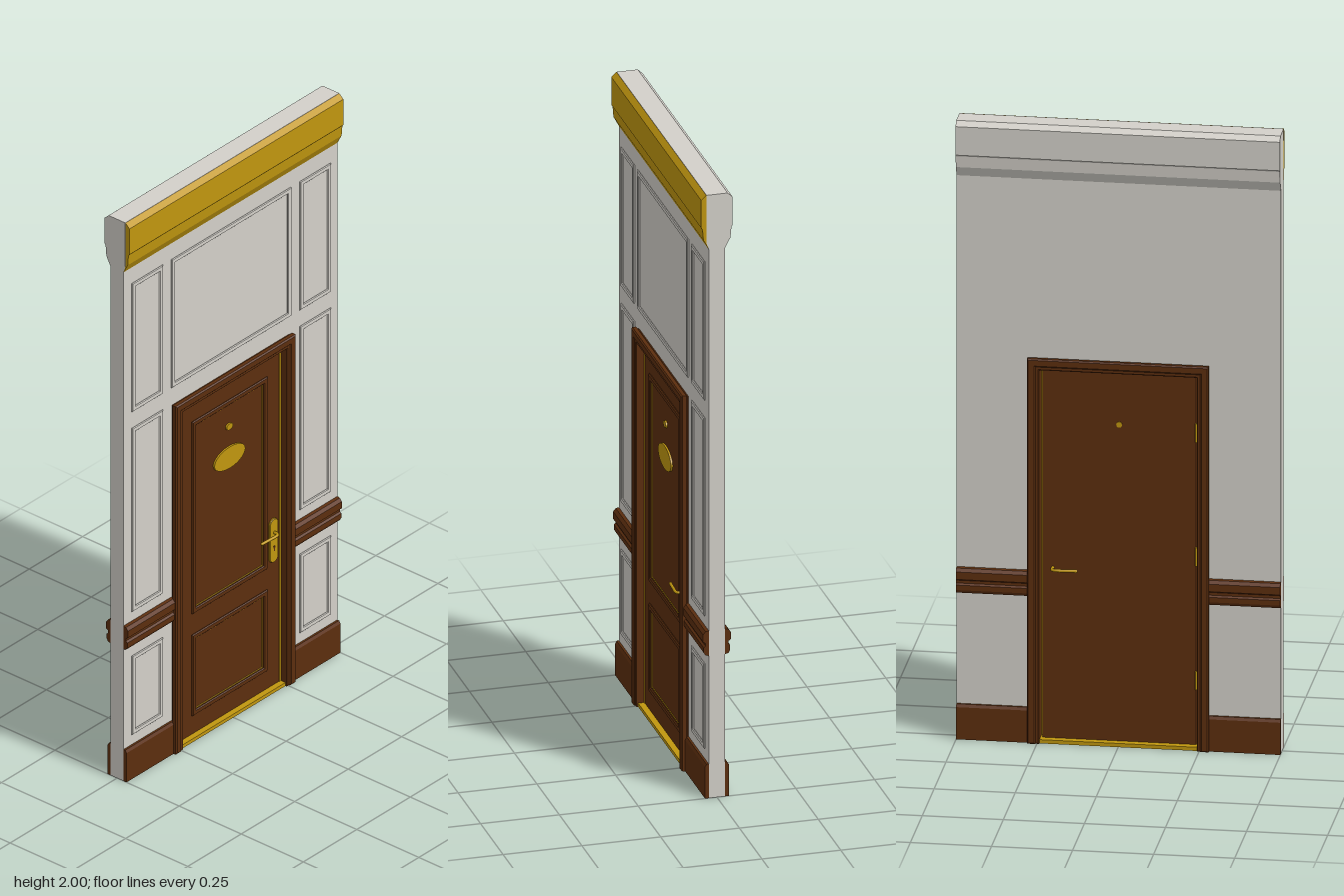
import * as THREE from 'three';

export function createModel() {
  const root = new THREE.Group();
  root.name = 'doorWallSection';
  const mat = (name, hex) => {
    const m = new THREE.MeshStandardMaterial({ color: hex });
    m.name = name;
    return m;
  };
  const white = mat('warmWhite', 0xd3d0c9);
  const gold = mat('brassGold', 0xc0960f);
  const brown = mat('darkWood', 0x5c2e0e);

  const add = (name, geo, material, x = 0, y = 0, z = 0, parent = root) => {
    const m = new THREE.Mesh(geo, material);
    m.name = name;
    m.position.set(x, y, z);
    parent.add(m);
    return m;
  };
  const poly = (pts) => new THREE.Shape(pts.map(([x, y]) => new THREE.Vector2(x, y)));
  const box = (w, h, d) => new THREE.BoxGeometry(w, h, d);

  // Sweeps a [z, y] profile along x
  const sweepX = (name, profile, x0, x1, material) => {
    const shape = poly(profile.map(([z, y]) => [-z, y]));
    const geo = new THREE.ExtrudeGeometry(shape, { depth: x1 - x0, bevelEnabled: false });
    geo.rotateY(Math.PI / 2);
    return add(name, geo, material, x0);
  };
  const flipZ = (profile) => profile.map(([z, y]) => [-z, y]);

  // Extrudes a shape whose edges are chamfered inside its outline
  const bevelled = (shape, depth, bevel) => {
    const geo = new THREE.ExtrudeGeometry(shape, {
      depth: depth - 2 * bevel, bevelEnabled: true, bevelThickness: bevel,
      bevelSize: bevel, bevelOffset: -bevel, bevelSegments: 1, curveSegments: 16,
    });
    geo.translate(0, 0, bevel);
    return geo;
  };

  // Rectangular picture-frame moulding lying on the plane z
  const frame = (name, x0, x1, y0, y1, w, depth, z, material, bevel) => {
    const shape = poly([[x0, y0], [x1, y0], [x1, y1], [x0, y1]]);
    shape.holes.push(poly([[x0 + w, y0 + w], [x0 + w, y1 - w], [x1 - w, y1 - w], [x1 - w, y0 + w]]));
    return add(name, bevelled(shape, depth, bevel), material, 0, 0, z);
  };
  // Inverted U around the doorway
  const portal = (xo, yo, xi, yi) => poly([
    [-xo, 0], [-xi, 0], [-xi, yi], [xi, yi], [xi, 0], [xo, 0], [xo, yo], [-xo, yo]]);

  // Wall with doorway
  const T = 0.026;
  const wallGeo = new THREE.ExtrudeGeometry(portal(0.5, 2, 0.26, 1.225), { depth: 2 * T, bevelEnabled: false });
  add('wall', wallGeo, white, 0, 0, -T);

  // Cornice: gilded front, plain back
  const corniceEdge = [[0.043, 1.852], [0.046, 1.888], [0.05, 1.893], [0.05, 1.985], [0.034, 2]];
  sweepX('corniceFront', [[T, 1.82], ...corniceEdge, [0.033, 1.84]], -0.5, 0.5, gold);
  sweepX('corniceCore', [[T, 1.82], [0.033, 1.84], [0.033, 2], [T, 2]], -0.5, 0.5, white);
  sweepX('corniceBack', flipZ([[T, 1.82], ...corniceEdge, [T, 2]]), -0.5, 0.5, white);

  // Baseboards and chair rails on both faces, either side of the door
  const baseboard = [[T, 0], [0.038, 0], [0.038, 0.104], [0.033, 0.113], [T, 0.113]];
  const chairRail = [[T, 0.472], [0.036, 0.474], [0.042, 0.484], [0.042, 0.5], [0.036, 0.505],
    [0.036, 0.514], [0.044, 0.519], [0.044, 0.543], [0.036, 0.553], [T, 0.555]];
  for (const [x0, x1] of [[-0.5, -0.275], [0.275, 0.5]]) {
    for (const back of [false, true]) {
      const side = back ? 'Back' : 'Front';
      sweepX('baseboard' + side, back ? flipZ(baseboard) : baseboard, x0, x1, brown);
      sweepX('chairRail' + side, back ? flipZ(chairRail) : chairRail, x0, x1, brown);
    }
  }

  // Wall panel mouldings
  const wallFrame = (x0, x1, y0, y1) => {
    frame('wallPanelMoulding', x0, x1, y0, y1, 0.017, 0.006, T, white, 0.0025);
  };
  for (const [x0, x1] of [[-0.465, -0.32], [0.32, 0.465]]) {
    wallFrame(x0, x1, 0.15, 0.432);
    wallFrame(x0, x1, 0.59, 1.247);
    wallFrame(x0, x1, 1.305, 1.765);
  }
  wallFrame(-0.28, 0.28, 1.305, 1.765);

  // Door casing through the wall, with a raised outer band on each face
  add('doorCasing', bevelled(portal(0.274, 1.24, 0.243, 1.208), 0.092, 0.003), brown, 0, 0, -0.046);
  for (const z of [-0.05, 0.03]) {
    add('casingBand', bevelled(portal(0.28, 1.245, 0.254, 1.219), 0.02, 0.004), brown, 0, 0, z);
  }

  // Door leaf, brass seal and threshold
  const F = 0.018, B = -0.014;
  add('doorLeaf', box(0.474, 1.194, F - B), brown, 0, 0.609, (F + B) / 2);
  const sealGeo = new THREE.ExtrudeGeometry(portal(0.243, 1.208, 0.236, 1.202), { depth: 0.012, bevelEnabled: false });
  add('doorSeal', sealGeo, gold, 0, 0, F - 0.01);
  add('threshold', box(0.486, 0.012, 0.076), gold, 0, 0.006, 0);

  // Door panel mouldings with brass inlay
  for (const [y0, y1] of [[0.08, 0.37], [0.445, 1.132]]) {
    frame('doorPanelMoulding', -0.176, 0.176, y0, y1, 0.018, 0.008, F, brown, 0.003);
    frame('doorPanelInlay', -0.158, 0.158, y0 + 0.018, y1 - 0.018, 0.0035, 0.002, F, gold, 0.0005);
  }

  // Oval plaque and peephole
  const oval = (name, rx, ry, depth, y, z) => {
    const geo = new THREE.CylinderGeometry(1, 1, depth, 32);
    geo.rotateX(Math.PI / 2).scale(rx, ry, 1);
    add(name, geo, gold, 0, y, z);
  };
  oval('plaque', 0.072, 0.038, 0.006, 0.925, F + 0.003);
  oval('peepholeFront', 0.015, 0.011, 0.006, 1.035, F + 0.003);
  oval('peepholeBack', 0.009, 0.009, 0.004, 1.035, B - 0.002);

  // Lock plate with rounded ends and keyhole
  const plate = new THREE.Shape();
  plate.absarc(0, 0.058, 0.02, 0, Math.PI);
  plate.absarc(0, -0.058, 0.02, Math.PI, 2 * Math.PI);
  add('lockPlate', bevelled(plate, 0.008, 0.002), gold, 0.205, 0.533, F);
  const keyhole = new THREE.CylinderGeometry(0.005, 0.005, 0.002, 12).rotateX(Math.PI / 2);
  add('keyhole', keyhole, brown, 0.205, 0.51, F + 0.008);
  add('keyholeSlot', box(0.004, 0.012, 0.002), brown, 0.205, 0.502, F + 0.008);

  // Lever handles on both faces
  for (const [s, z] of [[1, F], [-1, B]]) {
    const path = new THREE.CatmullRomCurve3([[0.205, 0], [0.205, 0.02], [0.198, 0.026], [0.17, 0.026], [0.13, 0.024]]
      .map(([x, d]) => new THREE.Vector3(x, 0.562, z + s * d)));
    add('leverHandle', new THREE.TubeGeometry(path, 20, 0.005, 8), gold);
    add('leverTip', new THREE.SphereGeometry(0.005, 10, 8), gold, 0.13, 0.562, z + s * 0.024);
  }

  // Hinges on the back edge
  for (const y of [0.22, 0.62, 1.02]) {
    add('hinge', new THREE.CylinderGeometry(0.004, 0.004, 0.06, 10), gold, -0.238, y, B - 0.002);
  }
  return root;
}
